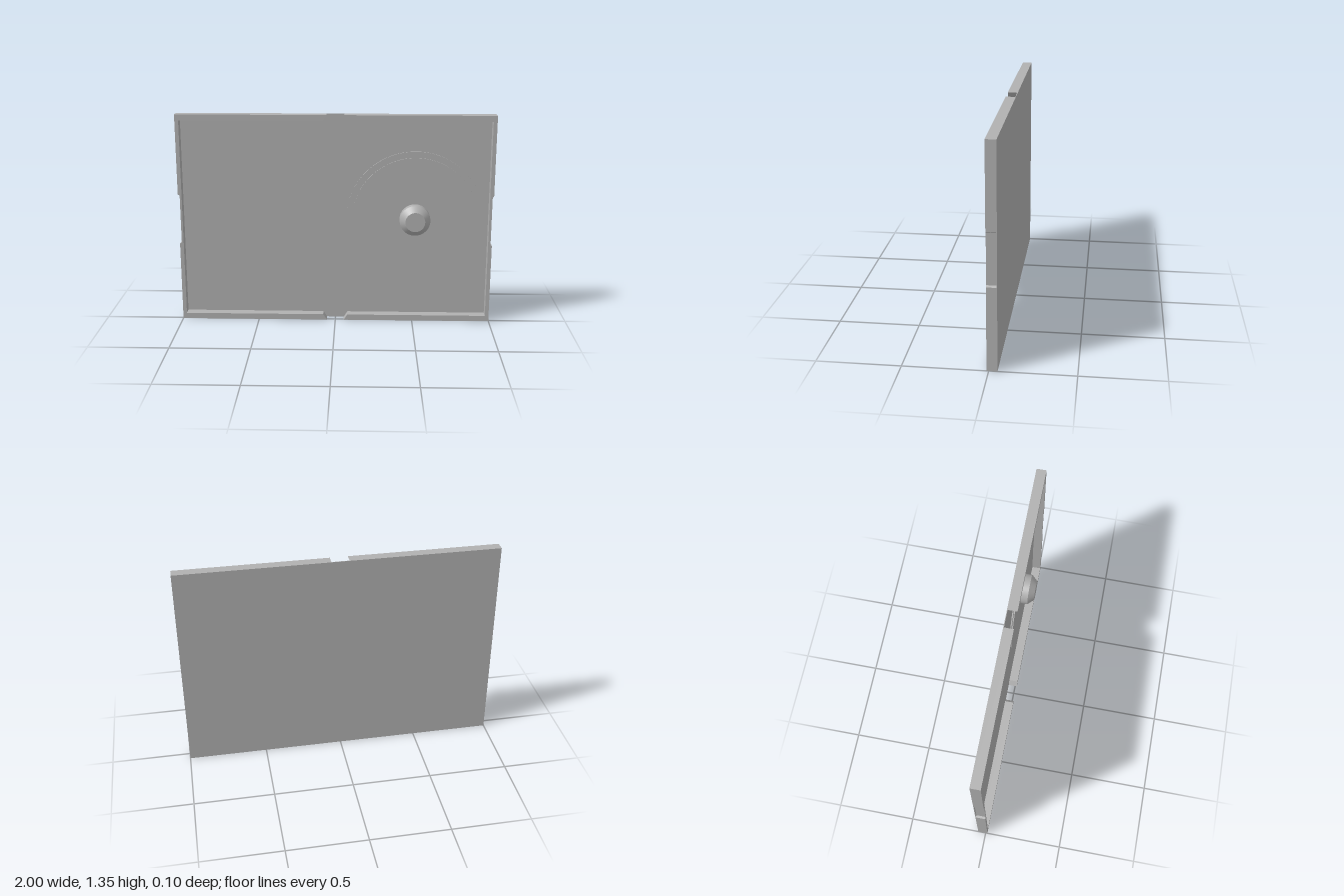
import * as THREE from 'three';

const HEIGHT = 1.352, BACK = -0.05, FLOOR = -0.046, RIM_FRONT = 0.012;
const DISC_X = 0.507, DISC_Y = 0.677;

export function createModel() {
  const group = new THREE.Group();
  const grey = new THREE.MeshStandardMaterial({ color: 0xb0b0b0 });

  const add = (name, geometry, x = 0, y = 0, z = 0) => {
    const mesh = new THREE.Mesh(geometry, grey);
    mesh.name = name;
    mesh.position.set(x, y, z);
    group.add(mesh);
    return mesh;
  };

  // Thin back panel
  add('backPanel', new THREE.BoxGeometry(2, HEIGHT, FLOOR - BACK), 0, HEIGHT / 2, (BACK + FLOOR) / 2);

  // C-shaped rim on each side, with a thumb notch outside and slanted ends at the spine
  const rimHalf = [
    [0.055, 0], [1, 0], [1, 0.515], [0.987, 0.523], [0.987, 0.831], [1, 0.839],
    [1, HEIGHT], [0.055, HEIGHT], [0.079, HEIGHT - 0.037], [0.976, HEIGHT - 0.037],
    [0.976, 0.037], [0.079, 0.037],
  ];
  for (const [name, side] of [['leftRim', 1], ['rightRim', -1]]) {
    const shape = new THREE.Shape(rimHalf.map(([x, y]) => new THREE.Vector2(side * x, y)));
    const rim = new THREE.ExtrudeGeometry(shape, { depth: RIM_FRONT - FLOOR, bevelEnabled: false });
    add(name, rim, 0, 0, FLOOR);
  }

  // Two shallow steps of the disc seat
  const seatStep = (name, radius, top) => {
    const step = new THREE.CylinderGeometry(radius, radius, top - FLOOR, 96);
    step.rotateX(Math.PI / 2);
    add(name, step, DISC_X, DISC_Y, (top + FLOOR) / 2);
  };
  seatStep('outerDiscSeat', 0.4375, -0.039);
  seatStep('innerDiscSeat', 0.398, -0.033);

  // Hub: a short cylinder topped by a tapered cap
  const hubPart = (name, topRadius, bottomRadius, from, to, open) => {
    const part = new THREE.CylinderGeometry(topRadius, bottomRadius, to - from, 48, 1, open);
    part.rotateX(Math.PI / 2);
    add(name, part, DISC_X, DISC_Y, (from + to) / 2);
  };
  hubPart('hubBase', 0.0975, 0.0975, -0.034, 0.012, false);
  hubPart('hubCap', 0.0625, 0.0975, 0.012, 0.05, false);

  return group;
}
